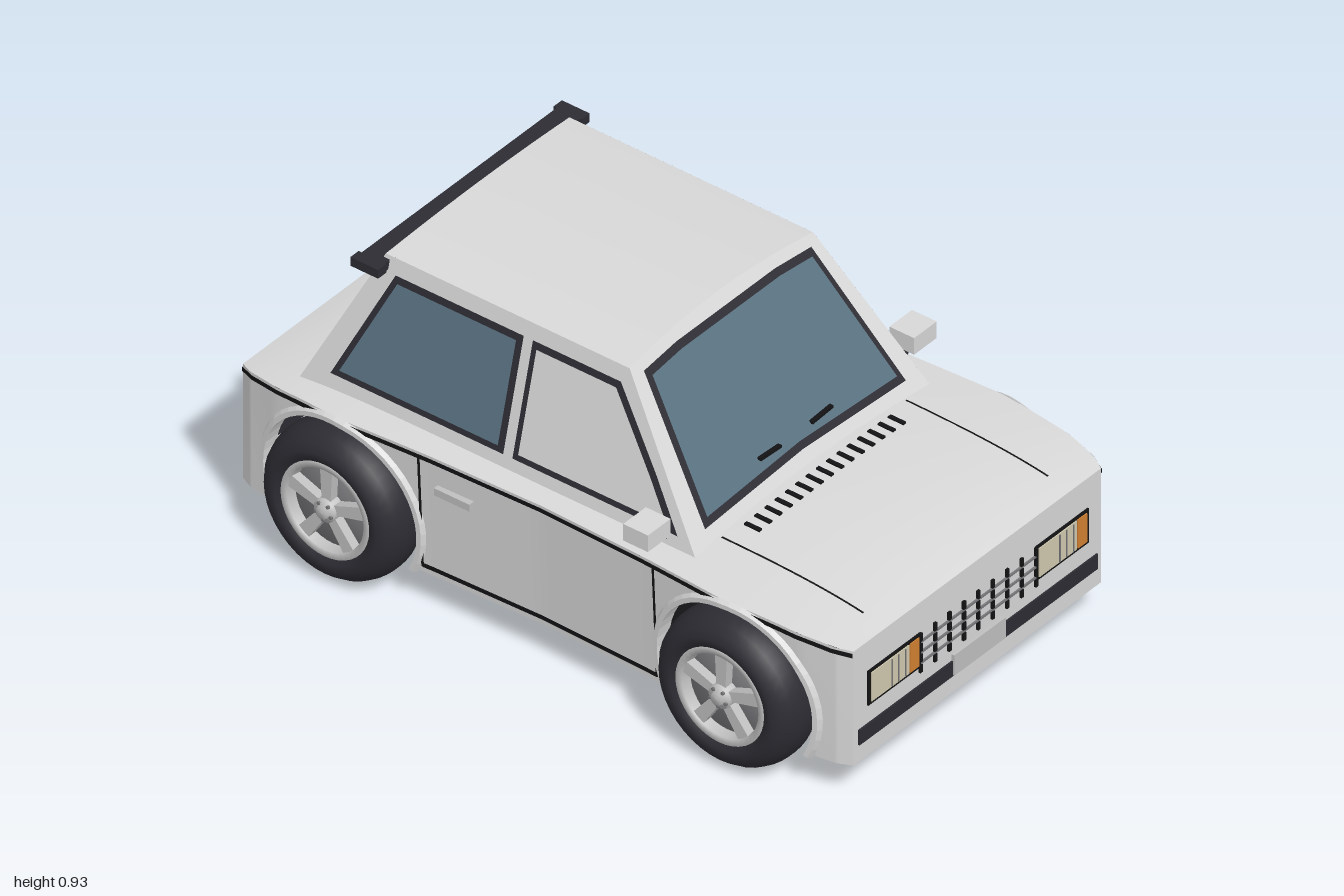
import * as THREE from 'three';

const mat = (name, color) => new THREE.MeshStandardMaterial({ name, color, side: THREE.DoubleSide });
const M = {
  body: mat('body paint', 0xd8d8d8), rubber: mat('dark rubber', 0x2d2c33), black: mat('black', 0x131315),
  glass: mat('blue glass', 0x5a7282), silver: mat('silver', 0xbfbfbf), grey: mat('grey metal', 0x77777a),
  cream: mat('lamp cream', 0xd0c8ae), orange: mat('indicator orange', 0xd08030), red: mat('tail red', 0xb81c1c),
};

const END = 0.99, AXLE = 0.64, HUB_Y = 0.227, ARCH = 0.25, FLOOR = 0.11;

// ---- helpers ----
function add(parent, name, geometry, material) {
  const mesh = new THREE.Mesh(geometry, material);
  mesh.name = name;
  parent.add(mesh);
  return mesh;
}
function box(parent, name, material, x0, x1, y0, y1, z0, z1) {
  const m = add(parent, name, new THREE.BoxGeometry(x1 - x0, y1 - y0, z1 - z0), material);
  m.position.set((x0 + x1) / 2, (y0 + y1) / 2, (z0 + z1) / 2);
  return m;
}
// surface sampled from fn(u, v) -> [x, y, z]
function grid(nu, nv, fn, flat = false) {
  const pos = [], idx = [], n = nv + 1;
  for (let i = 0; i <= nu; i++) for (let j = 0; j <= nv; j++) pos.push(...fn(i / nu, j / nv));
  for (let i = 0; i < nu; i++) for (let j = 0; j < nv; j++) {
    const a = i * n + j;
    idx.push(a, a + n, a + 1, a + 1, a + n, a + n + 1);
  }
  let g = new THREE.BufferGeometry();
  g.setAttribute('position', new THREE.Float32BufferAttribute(pos, 3));
  g.setIndex(idx);
  if (flat) g = g.toNonIndexed();
  g.computeVertexNormals();
  return g;
}
const lerp = THREE.MathUtils.lerp;

// ---- body surface rules ----
const WIDTHS = [[0, 0.54], [0.35, 0.55], [0.62, 0.566], [0.85, 0.548], [0.95, 0.525], [0.99, 0.503]];
function halfWidth(z) {
  const a = Math.min(Math.abs(z), END);
  const i = Math.max(1, WIDTHS.findIndex(p => p[0] >= a));
  const [z0, w0] = WIDTHS[i - 1], [z1, w1] = WIDTHS[i];
  return lerp(w0, w1, (a - z0) / (z1 - z0));
}
const edgeY = z => 0.468 + 0.03 * (1 - Math.pow(Math.abs(z) / END, 6));
const topY = (x, z) => edgeY(z) + 0.024 * (1 - Math.pow(Math.abs(z) / END, 4)) * (1 - (x / halfWidth(z)) ** 2);
const sideX = (z, y) => halfWidth(z) - 0.02 * (1 - Math.pow(Math.abs(z) / END, 4)) * (1 - (y - FLOOR) / (edgeY(z) - FLOOR));

// ---- cabin planes ----
const roofHalf = 0.373, roofY = x => 0.905 + 0.02 * (1 - (x / roofHalf) ** 2);
const cabinX = y => 0.475 - (y - 0.51) * 0.258;
const screenZ = y => 0.45 - (y - 0.51) * 0.734;
const tailZ = y => -0.815 + (y - 0.51) * 0.468;

// move every edge of a counter-clockwise polygon inwards by d
function inset(pts, d) {
  const n = pts.length;
  return pts.map((p, i) => {
    const a = pts[(i + n - 1) % n], b = pts[(i + 1) % n];
    const e = new THREE.Vector2(p[0] - a[0], p[1] - a[1]).normalize();
    const f = new THREE.Vector2(b[0] - p[0], b[1] - p[1]).normalize();
    const k = d / (1 + e.dot(f));
    return [p[0] - (e.y + f.y) * k, p[1] + (e.x + f.x) * k];
  });
}
// rubber seal and pane laid on a cabin plane by map(u, v, offset)
function windowPane(parent, name, pts, map, material) {
  [[0, 0.006, 'Seal', M.rubber], [0.018, 0.01, 'Pane', material]].forEach(([d, off, label, m]) => {
    const g = new THREE.ShapeGeometry(new THREE.Shape(inset(pts, d).map(p => new THREE.Vector2(...p))));
    const p = g.attributes.position;
    for (let i = 0; i < p.count; i++) p.setXYZ(i, ...map(p.getX(i), p.getY(i), off));
    g.computeVertexNormals();
    add(parent, name + label, g, m);
  });
}

function buildBody(car) {
  // sides: plain panels and arched panels in turn
  const spans = [[END, AXLE + ARCH], null, [AXLE - ARCH, ARCH - AXLE], null, [-AXLE - ARCH, -END]];
  for (const s of [1, -1]) {
    spans.forEach((span, k) => {
      const c = k === 1 ? AXLE : -AXLE;
      add(car, span ? 'sidePanel' : 'fender', grid(24, 5, (u, v) => {
        const a = u * Math.PI;
        const z = span ? lerp(span[0], span[1], u) : c + ARCH * Math.cos(a);
        const y = lerp(span ? FLOOR : HUB_Y + ARCH * Math.sin(a), edgeY(z), v);
        return [s * sideX(z, y), y, z];
      }), M.body);
    });
    // wheel arch lips
    const lip = [[0.25, -0.04], [0.25, 0.012], [0.264, 0.012], [0.272, 0]];
    for (const c of [AXLE, -AXLE]) add(car, 'archLip', grid(32, 3, (u, v) => {
      const [r, off] = lip[Math.round(v * 3)], a = lerp(-0.48, Math.PI + 0.48, u);
      const z = c + r * Math.cos(a), y = HUB_Y + r * Math.sin(a);
      return [s * (sideX(z, y) + off), y, z];
    }, true), M.body);
    // thin dark lines following the side
    const line = (name, z0, z1, y0, y1) => add(car, name, grid(40, 2, (u, v) => {
      const z = lerp(z0, z1, u), y = lerp(y0(z), y1(z), v);
      return [s * (sideX(z, y) + 0.004), y, z];
    }), M.black);
    line('waistLine', END, -END, z => edgeY(z) - 0.019, z => edgeY(z) - 0.005);
    line('sillLine', 0.38, -0.38, () => 0.128, () => 0.142);
    for (const z of [0.38, -0.38]) line('doorSeam', z - 0.004, z + 0.004, () => 0.13, () => 0.485);
    // hood seams
    add(car, 'hoodSeam', grid(20, 1, (u, v) => {
      const z = lerp(0.46, 0.92, u), x = s * (0.372 + v * 0.006);
      return [x, topY(x, z) + 0.003, z];
    }), M.black);
    const hx = s * (sideX(-0.27, 0.4) + 0.006);
    box(car, 'doorHandle', M.silver, hx - 0.012, hx + 0.012, 0.392, 0.414, -0.325, -0.21);
    // mirrors
    box(car, 'mirror', M.body, s * 0.541 - 0.046, s * 0.541 + 0.046, 0.555, 0.607, 0.31, 0.39);
    const stem = box(car, 'mirrorStem', M.rubber, s * 0.493 - 0.04, s * 0.493 + 0.04, 0.53, 0.55, 0.335, 0.36);
    stem.rotation.z = s * 0.5;
  }
  // hood, deck and end faces
  add(car, 'upperBody', grid(60, 16, (u, v) => {
    const z = lerp(END, -END, u), x = lerp(-1, 1, v) * halfWidth(z);
    return [x, topY(x, z), z];
  }), M.body);
  for (const z of [END, -END]) add(car, z > 0 ? 'nosePanel' : 'tailPanel',
    grid(1, 1, (u, v) => [lerp(-0.503, 0.503, u), lerp(FLOOR, 0.468, v), z]), M.body);
  box(car, 'underside', M.black, -0.44, 0.44, 0.112, 0.122, -0.98, 0.98);
  // hood vents
  for (let i = 0; i < 15; i++) {
    const x = -0.294 + i * 0.0418, y = topY(x, 0.5);
    box(car, 'hoodVent', M.black, x - 0.006, x + 0.006, y - 0.003, y + 0.005, 0.472, 0.522);
  }
}

function buildCabin(car) {
  const cabin = new THREE.Group();
  cabin.name = 'cabin';
  car.add(cabin);
  add(cabin, 'roof', grid(4, 16, (u, v) => {
    const x = lerp(-roofHalf, roofHalf, v), y = roofY(x);
    return [x, y, lerp(screenZ(y), tailZ(y), u)];
  }), M.body);
  for (const [name, fz] of [['windshieldFrame', screenZ], ['rearFrame', tailZ]])
    add(cabin, name, grid(16, 4, (u, v) => {
      const t = u * 2 - 1, y = lerp(0.49, roofY(t * roofHalf), v);
      return [t * lerp(cabinX(0.49), roofHalf, v), y, fz(y)];
    }), M.body);
  for (const s of [1, -1]) {
    add(cabin, 'cabinSide', grid(1, 1, (u, v) => {
      const y = lerp(0.48, 0.905, v);
      return [s * cabinX(y), y, lerp(screenZ(y), tailZ(y), u)];
    }), M.body);
    const map = (z, y, o) => [s * (cabinX(y) + o), y + o * 0.25, z];
    windowPane(cabin, 'frontSideWindow', [[-0.14, 0.54], [0.395, 0.54], [0.3, 0.67], [0.145, 0.864], [-0.14, 0.864]], map, M.body);
    windowPane(cabin, 'rearSideWindow', [[-0.73, 0.54], [-0.17, 0.54], [-0.17, 0.864], [-0.585, 0.864]], map, M.glass);
  }
  windowPane(cabin, 'windshield', [[-0.408, 0.54], [0, 0.553], [0.408, 0.54], [0.34, 0.884], [0.2, 0.893], [-0.2, 0.893], [-0.34, 0.884]],
    (x, y, o) => [x, y + o * 0.6, screenZ(y) + o * 0.8], M.glass);
  windowPane(cabin, 'rearWindow', [[-0.415, 0.545], [0.415, 0.545], [0.345, 0.875], [-0.345, 0.875]],
    (x, y, o) => [x, y + o * 0.4, tailZ(y) - o * 0.9], M.glass);
  // wipers
  for (const x of [-0.107, 0.103]) {
    const w = box(cabin, 'frontWiper', M.black, x - 0.042, x + 0.042, 0.595, 0.603, 0.396, 0.408);
    w.rotation.z = x > 0 ? 0.06 : -0.06;
  }
  const path = new THREE.LineCurve3(new THREE.Vector3(0.01, 0.61, tailZ(0.61) - 0.02), new THREE.Vector3(0.2, 0.68, tailZ(0.68) - 0.02));
  add(cabin, 'rearWiper', new THREE.TubeGeometry(path, 1, 0.006, 6), M.black);
  // roof spoiler with swept tips
  box(cabin, 'spoiler', M.rubber, -0.4, 0.4, 0.867, 0.894, -0.69, -0.615);
  for (const s of [1, -1]) box(cabin, 'spoilerTip', M.rubber, s * 0.413 - 0.017, s * 0.413 + 0.017, 0.867, 0.894, -0.7, -0.61);
}

function buildEnds(car) {
  // upright plates on the nose (d = 1) or tail (d = -1)
  const plate = (name, m, d, x0, x1, y0, y1, h) =>
    box(car, name, m, x0, x1, y0, y1, Math.min(d * (END - 0.003), d * (END + h)), Math.max(d * (END - 0.003), d * (END + h)));
  for (const d of [1, -1]) {
    plate('bumperStrip', M.rubber, d, -0.485, 0.485, 0.165, 0.212, 0.005);
    plate('numberPlate', M.silver, d, -0.105, 0.105, 0.168, 0.232, 0.009);
    for (const c of [-0.341, 0.341]) plate('lampFrame', M.black, d, c - 0.107, c + 0.107, 0.268, 0.376, 0.004);
  }
  for (const c of [-0.341, 0.341]) {
    plate('headlamp', M.cream, 1, c - 0.097, c + 0.056, 0.277, 0.367, 0.007);
    plate('frontIndicator', M.orange, 1, c + 0.06, c + 0.097, 0.277, 0.367, 0.007);
    for (const x of [-0.015, 0.012, 0.04]) plate('lampRib', M.grey, 1, c + x - 0.002, c + x + 0.002, 0.28, 0.364, 0.009);
    plate('tailLamp', M.red, -1, c - 0.097, c + 0.056, 0.277, 0.367, 0.007);
    plate('rearIndicator', M.orange, -1, c + 0.06, c + 0.097, 0.277, 0.367, 0.007);
    plate('reverseSurround', M.black, -1, c - 0.042, c + 0.03, 0.294, 0.35, 0.008);
    plate('reverseLamp', M.grey, -1, c - 0.036, c + 0.024, 0.3, 0.344, 0.009);
  }
  // grille
  for (const y of [0.346, 0.313, 0.28]) plate('grilleBar', M.grey, 1, -0.235, 0.235, y - 0.003, y + 0.003, 0.005);
  for (let i = -4; i <= 4; i++) for (const y of [0.362, 0.33, 0.297, 0.264])
    plate('grilleDash', M.black, 1, i * 0.0587 - 0.005, i * 0.0587 + 0.005, y - 0.012, y + 0.012, 0.007);
  plate('exhaust', M.black, -1, -0.34, -0.26, 0.118, 0.145, 0.006);
}

function buildWheel() {
  const wheel = new THREE.Group();
  wheel.name = 'wheel';
  const lathe = (name, pts, m) => add(wheel, name, new THREE.LatheGeometry(pts.map(p => new THREE.Vector2(...p)), 40), m);
  const half = [[0.138, 0.072], [0.155, 0.088], [0.175, 0.089], [0.198, 0.078], [0.215, 0.055], [0.225, 0.025]];
  lathe('tyre', [...half.map(([r, h]) => [r, -h]), [0.227, 0], ...half.slice().reverse()], M.rubber);
  lathe('rimRing', [[0.12, 0.045], [0.124, 0.076], [0.142, 0.08], [0.146, 0.07]], M.silver);
  lathe('rimDish', [[0, 0.046], [0.14, 0.046], [0.14, -0.07], [0, -0.06]], M.grey);
  lathe('hub', [[0.036, 0.046], [0.034, 0.08], [0.02, 0.084], [0.018, 0.092], [0, 0.094]], M.silver);
  // five tapered spokes
  const shape = new THREE.Shape([[-0.014, 0.02], [0.014, 0.02], [0.02, 0.13], [-0.02, 0.13]].map(p => new THREE.Vector2(...p)));
  const g = new THREE.ExtrudeGeometry(shape, { depth: 0.028, bevelEnabled: false }).rotateX(-Math.PI / 2).translate(0, 0.045, 0);
  for (let i = 0; i < 5; i++) {
    const a = i * Math.PI * 0.4;
    add(wheel, 'spoke', g, M.silver).rotation.y = a;
    const nut = add(wheel, 'wheelNut', new THREE.CylinderGeometry(0.005, 0.005, 0.008, 6), M.grey);
    nut.position.set(0.026 * Math.sin(a), 0.084, 0.026 * Math.cos(a));
  }
  return wheel;
}

export function createModel() {
  const car = new THREE.Group();
  car.name = 'hatchback';
  buildBody(car);
  buildCabin(car);
  buildEnds(car);
  for (const s of [1, -1]) for (const z of [AXLE, -AXLE]) {
    const wheel = buildWheel();
    // wheel axis points outwards, first spoke up
    wheel.rotation.set(0, s > 0 ? Math.PI / 2 : -Math.PI / 2, 0);
    wheel.rotateX(Math.PI / 2);
    wheel.position.set(s * 0.531, HUB_Y, z);
    car.add(wheel);
  }
  return car;
}
